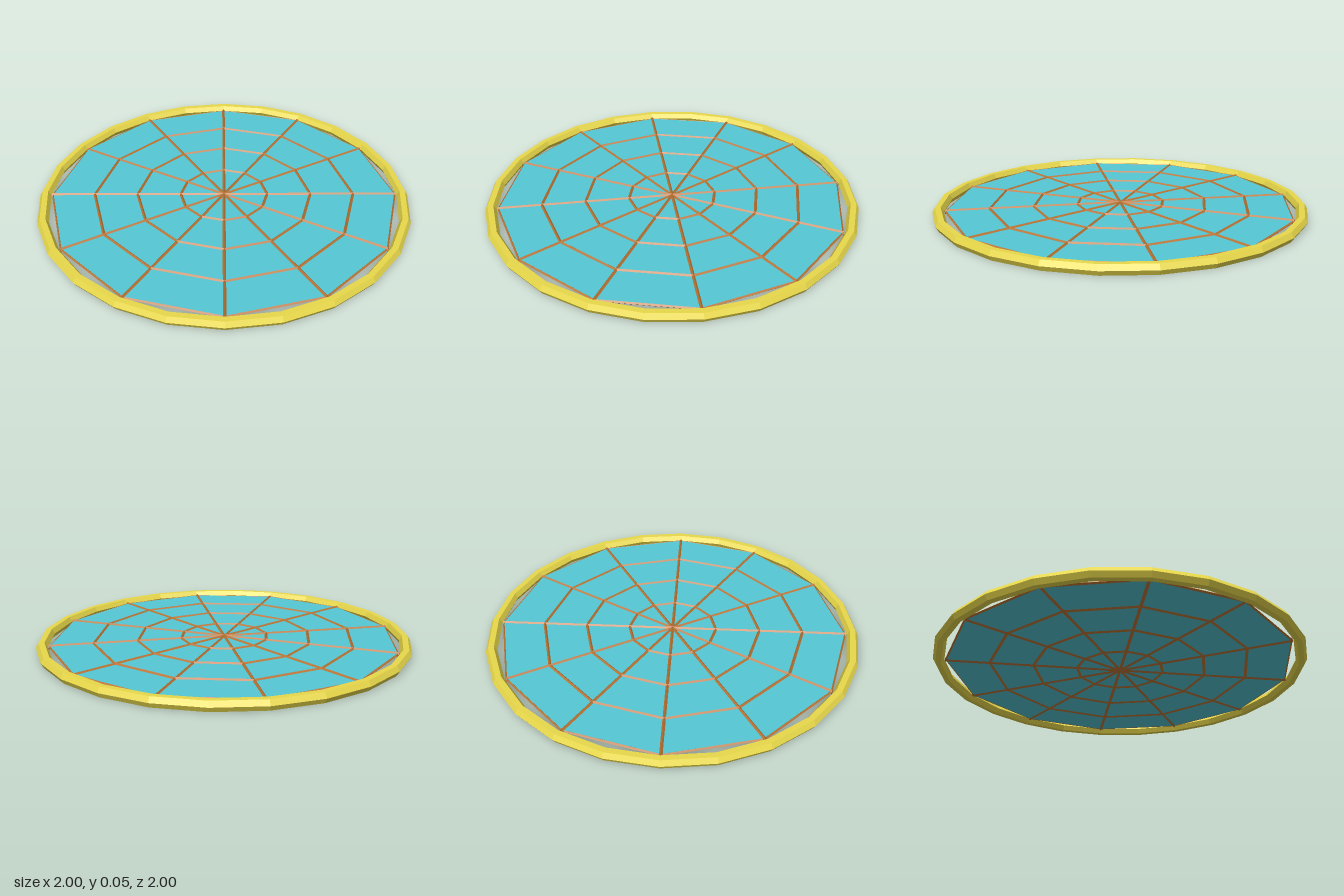
import * as THREE from 'three';

const MID = 0.026; // height of the panel's middle plane
const SIDES = 12;

export function createModel() {
  const model = new THREE.Group();
  const gold = new THREE.MeshStandardMaterial({ color: 0xe8d84a, flatShading: true });
  const wood = new THREE.MeshStandardMaterial({ color: 0xb87333, flatShading: true });
  const glass = new THREE.MeshStandardMaterial({ color: 0x55c8d4, flatShading: true });

  const add = (name, geometry, material) => {
    const mesh = new THREE.Mesh(geometry, material);
    mesh.name = name;
    mesh.position.y = MID;
    model.add(mesh);
    return mesh;
  };
  const hoop = (radius, tube, tubeSides, sides) =>
    new THREE.TorusGeometry(radius, tube, tubeSides, sides).rotateX(Math.PI / 2);

  // Hexagonal-section outer rim
  add('outerRim', hoop(0.97, 0.03, 6, 24), gold);

  // Twelve-sided panel with a vertex on each spoke
  add('panel', new THREE.CylinderGeometry(0.93, 0.93, 0.01, SIDES), glass);

  // Concentric lattice bars, diamond in section
  [0.235, 0.47, 0.703].forEach((r, i) => add('latticeRing' + (i + 1), hoop(r, 0.013, 4, SIDES), wood));
  add('panelEdge', hoop(0.93, 0.007, 4, SIDES), wood);

  // Radial bars from the hub to the rim
  for (let i = 0; i < SIDES; i++) {
    const bar = new THREE.CylinderGeometry(0.013, 0.013, 0.935, 4);
    bar.rotateZ(Math.PI / 2).translate(0.4675, 0, 0);
    add('spoke' + (i + 1), bar, wood).rotation.y = (i / SIDES) * Math.PI * 2;
  }
  return model;
}
